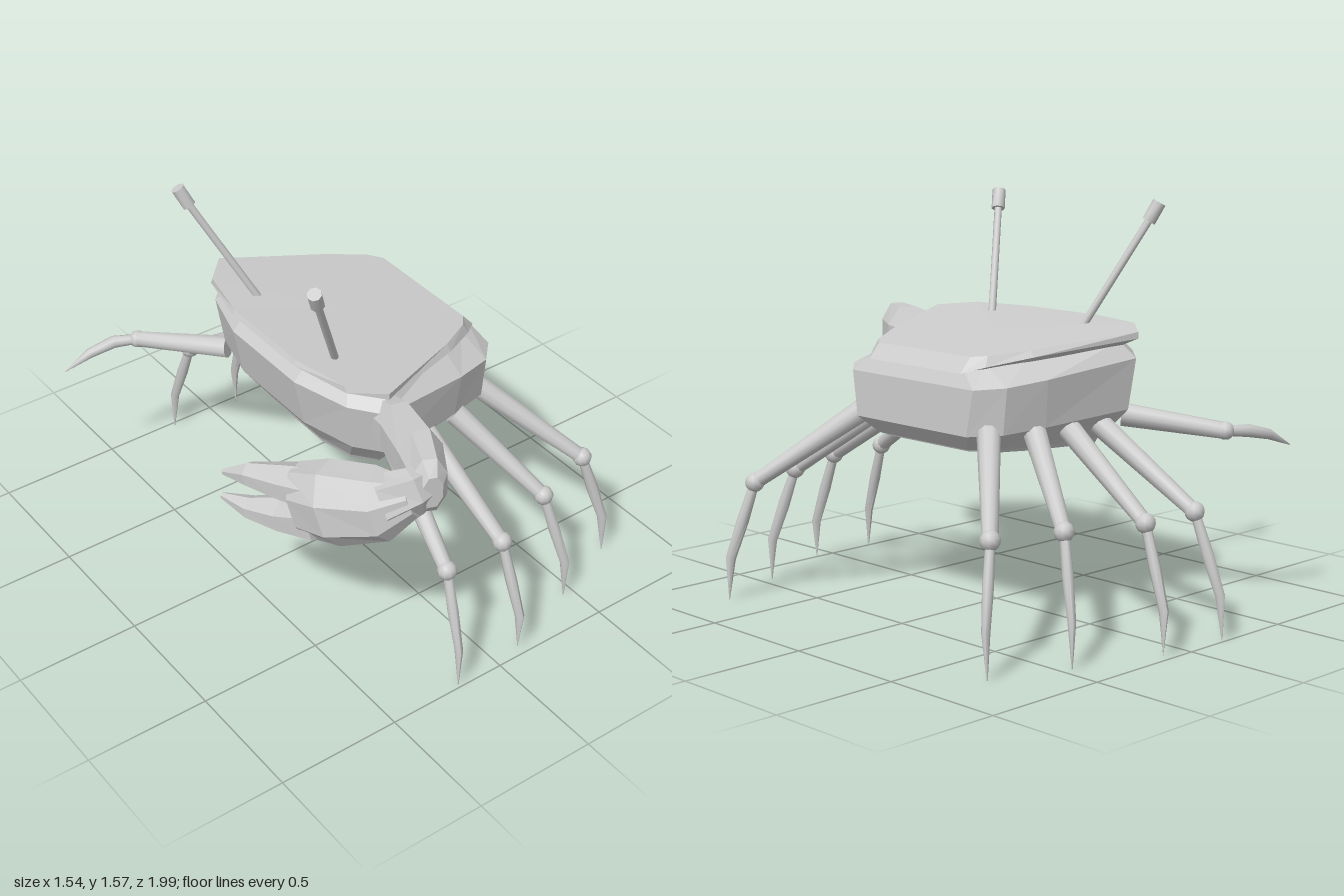
import * as THREE from 'three';
import { toCreasedNormals } from 'three/addons/utils/BufferGeometryUtils.js';

const V = (x, y, z) => new THREE.Vector3(x, y, z);
const flat = new THREE.MeshStandardMaterial({ color: 0xcccccc, flatShading: true });
const smooth = new THREE.MeshStandardMaterial({ color: 0xcccccc });

// Skin a row of equal-length rings and close both ends
function skin(rings) {
  const pos = [], n = rings[0].length;
  const tri = (...p) => p.forEach(v => pos.push(v.x, v.y, v.z));
  const mid = r => r.reduce((s, v) => s.add(v), V(0, 0, 0)).divideScalar(n);
  const first = rings[0], last = rings[rings.length - 1];
  const c0 = mid(first), c1 = mid(last);
  for (let j = 0; j < n; j++) {
    const k = (j + 1) % n;
    for (let i = 0; i < rings.length - 1; i++) {
      const a = rings[i], b = rings[i + 1];
      tri(a[j], b[j], a[k]);
      tri(a[k], b[j], b[k]);
    }
    tri(c0, first[j], first[k]);
    tri(c1, last[k], last[j]);
  }
  const g = new THREE.BufferGeometry();
  g.setAttribute('position', new THREE.Float32BufferAttribute(pos, 3));
  g.computeVertexNormals();
  return g;
}

// Elliptical sections [x, y, z, halfWidth, halfHeight] along a path
function limb(sections, sides, turn = 0) {
  const pts = sections.map(s => V(s[0], s[1], s[2]));
  return skin(sections.map((s, i) => {
    const t = pts[Math.min(i + 1, pts.length - 1)].clone().sub(pts[Math.max(i - 1, 0)]).normalize();
    const side = t.clone().cross(V(0, 1, 0)).normalize();
    const up = side.clone().cross(t);
    return Array.from({ length: sides }, (_, j) => {
      const a = (j + turn) / sides * Math.PI * 2;
      return pts[i].clone().addScaledVector(side, Math.cos(a) * s[3])
        .addScaledVector(up, Math.sin(a) * (s[4] ?? s[3]));
    });
  }));
}

// Mirrored horizontal ring from a half outline of [x, z], back to front
function ring(half, height) {
  const pts = [...half, ...half.map(([x, z]) => [x, -z]).reverse()];
  return pts.map(([x, z]) => V(x, height(x), z));
}

export function createModel() {
  const root = new THREE.Group();
  const add = (name, geo, mat = flat, parent = root) => {
    const m = new THREE.Mesh(geo, mat);
    m.name = name;
    parent.add(m);
    return m;
  };
  const round = g => toCreasedNormals(g, 0.9);
  const topY = x => 1.11 - (x + 0.3) * 0.11;

  // Body shell
  const widest = [[0.445, 0.33], [0.36, 0.42], [0.2, 0.47], [-0.2, 0.54], [-0.3, 0.43], [-0.37, 0.2]];
  const waist = [[0.45, 0.3], [0.36, 0.4], [0.19, 0.45], [-0.18, 0.52], [-0.27, 0.42], [-0.33, 0.2]];
  const under = [[0.39, 0.24], [0.31, 0.33], [0.16, 0.38], [-0.14, 0.42], [-0.21, 0.33], [-0.24, 0.18]];
  const neck = [[0.41, 0.24], [0.34, 0.29], [0.2, 0.36], [-0.17, 0.48], [-0.26, 0.38], [-0.32, 0.2]];
  add('body', skin([
    ring(under, () => 0.69),
    ring(waist, x => 0.79 - x * 0.08),
    ring(widest, x => topY(x) - 0.1),
    ring(neck, x => topY(x) - 0.035),
  ]));

  // Overhanging back plate
  const rim = [[0.43, 0.25], [0.36, 0.31], [0.2, 0.4], [-0.2, 0.55], [-0.31, 0.44], [-0.37, 0.2]];
  const crown = [[0.38, 0.25], [0.34, 0.3], [0.2, 0.38], [-0.2, 0.55], [-0.31, 0.43], [-0.36, 0.2]];
  add('backPlate', skin([
    ring(neck, x => topY(x) - 0.055),
    ring(rim, x => topY(x) - 0.025 - Math.max(0, x - 0.3) * 0.2),
    ring(crown, x => Math.min(topY(x), 1.113)),
  ]));

  // Belly plate
  const shrink = (k, dx = 0) => under.map(([x, z]) => [x * k + dx, z * k]);
  add('bellyPlate', skin([
    ring(shrink(0.94), x => 0.668 + x * 0.03),
    ring(shrink(0.98), x => 0.7 + x * 0.03),
  ]));

  // Walking legs: hip, knee, shin bend, foot
  const legs = [
    [[-0.1, 0.75, 0.45], [-0.165, 0.472, 0.865], [-0.186, 0.17, 0.975], [-0.19, 0.004, 0.985]],
    [[0.055, 0.75, 0.44], [0.1, 0.472, 0.86], [0.115, 0.17, 0.965], [0.115, 0.004, 0.965]],
    [[0.215, 0.75, 0.42], [0.4, 0.472, 0.745], [0.453, 0.17, 0.835], [0.455, 0.004, 0.84]],
    [[0.375, 0.77, 0.34], [0.675, 0.472, 0.655], [0.755, 0.17, 0.715], [0.758, 0.004, 0.725]],
  ];
  for (const side of [1, -1]) {
    legs.forEach((path, i) => {
      const [hip, knee, shin, foot] = path.map(([x, y, z]) => [x, y, z * side]);
      const leg = new THREE.Group();
      leg.name = `${side > 0 ? 'front' : 'back'}Leg${i + 1}`;
      add('thigh', round(limb([[...hip, 0.045], [...knee, 0.029]], 10)), smooth, leg);
      add('knee', new THREE.SphereGeometry(0.038, 10, 8), smooth, leg).position.set(...knee);
      const half = knee.map((v, k) => v * 0.5 + shin[k] * 0.5);
      add('shin', round(limb([[...knee, 0.018], [...half, 0.021, 0.024],
        [...shin, 0.016, 0.02], [...foot, 0.002]], 8)), smooth, leg);
      root.add(leg);
    });
  }

  // Eye stalks
  for (const side of [1, -1]) {
    add('eyeStalk', round(limb([[-0.215, 1.08, 0.245 * side, 0.015],
      [-0.415, 1.5, 0.412 * side, 0.015]], 8)), smooth);
    add('eye', round(limb([[-0.41, 1.488, 0.408 * side, 0.027],
      [-0.441, 1.56, 0.434 * side, 0.027]], 8)), smooth);
  }

  // Small claw
  add('smallClawArm', round(limb([[-0.25, 0.765, -0.43, 0.045],
    [-0.475, 0.715, -0.75, 0.032]], 10)), smooth);
  add('smallClawJoint', new THREE.SphereGeometry(0.035, 10, 8), smooth).position.set(-0.475, 0.715, -0.75);
  add('smallClawTip', round(limb([[-0.475, 0.715, -0.75, 0.02], [-0.56, 0.71, -0.795, 0.025],
    [-0.66, 0.685, -0.815, 0.02], [-0.77, 0.632, -0.83, 0.002]], 8)), smooth);

  // Large claw: arm, wrist, palm and two fingers
  add('largeClawArm', limb([[-0.16, 0.93, 0.47, 0.07, 0.1], [-0.17, 0.935, 0.57, 0.08, 0.13],
    [-0.22, 0.945, 0.76, 0.09, 0.135], [-0.29, 0.955, 0.9, 0.07, 0.12],
    [-0.305, 0.955, 0.94, 0.04, 0.07]], 8, 0.5));
  add('largeClawWrist', limb([[-0.25, 0.95, 0.87, 0.06, 0.08], [-0.34, 0.94, 0.88, 0.07, 0.1],
    [-0.44, 0.9, 0.83, 0.09, 0.12]], 6));
  add('largeClawPalm', limb([[-0.36, 0.93, 0.89, 0.06, 0.08], [-0.43, 0.89, 0.82, 0.13, 0.14],
    [-0.52, 0.83, 0.66, 0.135, 0.165], [-0.565, 0.785, 0.54, 0.1, 0.15]], 8, 0.5));
  add('largeClawUpperFinger', limb([[-0.54, 0.865, 0.6, 0.1, 0.085], [-0.6, 0.845, 0.47, 0.085, 0.065],
    [-0.67, 0.825, 0.34, 0.05, 0.045], [-0.715, 0.79, 0.24, 0.012, 0.012]], 6, 0.5));
  add('largeClawLowerFinger', limb([[-0.54, 0.735, 0.6, 0.1, 0.09], [-0.6, 0.69, 0.46, 0.085, 0.065],
    [-0.67, 0.67, 0.34, 0.05, 0.04], [-0.72, 0.675, 0.23, 0.012, 0.012]], 6, 0.5));

  return root;
}
